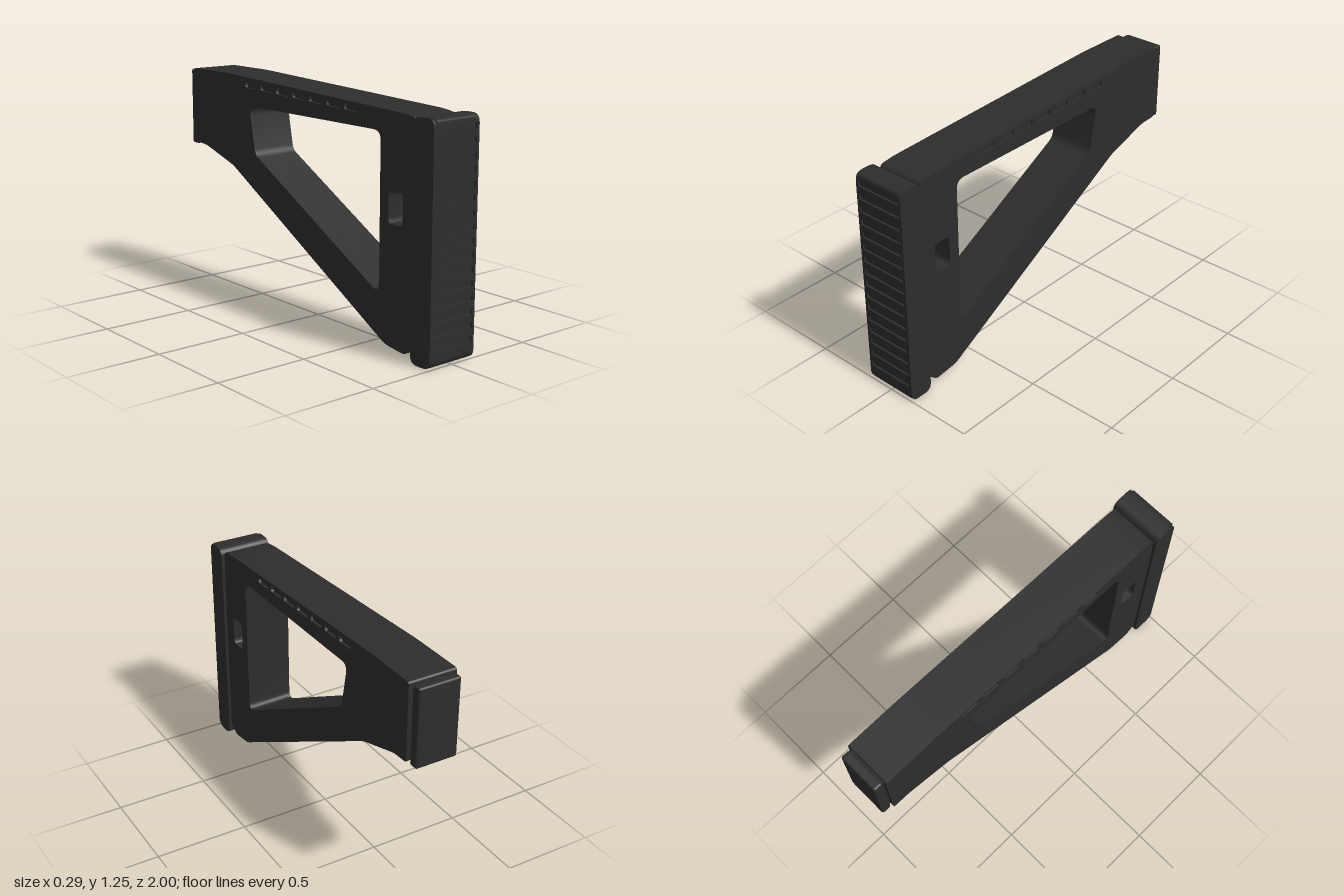
import * as THREE from 'three';
import { toCreasedNormals } from 'three/addons/utils/BufferGeometryUtils.js';
import { RoundedBoxGeometry } from 'three/addons/geometries/RoundedBoxGeometry.js';

const polymer = new THREE.MeshStandardMaterial({ color: 0x2d2d2d });
polymer.name = 'charcoal polymer';

// Closed outline with rounded corners; each point is [z, y, radius]
function trace(path, pts) {
  const n = pts.length;
  const toward = (a, b, r) => {
    const d = Math.hypot(b[0] - a[0], b[1] - a[1]);
    const t = Math.min(r, d * 0.45) / d;
    return [a[0] + (b[0] - a[0]) * t, a[1] + (b[1] - a[1]) * t];
  };
  pts.forEach((p, i) => {
    const r = p[2] || 0;
    const a = toward(p, pts[(i + n - 1) % n], r);
    const b = toward(p, pts[(i + 1) % n], r);
    if (i === 0) path.moveTo(...a);
    else path.lineTo(...a);
    if (r) path.quadraticCurveTo(p[0], p[1], b[0], b[1]);
  });
  path.closePath();
  return path;
}

// Side profile extruded across x, from x0 to x1
function slab(name, outline, holes, x0, x1) {
  const shape = trace(new THREE.Shape(), outline);
  shape.holes = holes.map((h) => trace(new THREE.Path(), h));
  const geo = new THREE.ExtrudeGeometry(shape, { depth: x1 - x0, bevelEnabled: false, curveSegments: 6 });
  geo.rotateY(-Math.PI / 2);
  geo.translate(x1, 0, 0);
  const mesh = new THREE.Mesh(toCreasedNormals(geo, 0.6), polymer);
  mesh.name = name;
  return mesh;
}

export function createModel() {
  const model = new THREE.Group();
  model.name = 'shoulderStock';

  // Frame: triangular opening and sling slot
  const frame = [
    [0.862, 1.178, 0.02], [0.78, 1.19, 0.05], [-0.62, 1.25, 0.05], [-0.94, 1.25, 0.015],
    [-0.94, 0.83, 0.01], [-0.84, 0.825, 0.02], [-0.58, 0.745, 0.03],
    [0.67, 0.042, 0.03], [0.81, 0.024, 0.02], [0.87, 0.075, 0.01], [0.87, 1.0],
  ];
  const opening = [[0.625, 1.09, 0.05], [0.625, 0.285, 0.06], [-0.375, 0.832, 0.03], [-0.425, 1.09, 0.05]];
  const slingSlot = [[0.785, 0.81, 0.025], [0.785, 0.65, 0.025], [0.685, 0.65, 0.025], [0.685, 0.81, 0.025]];

  // Shallow side recesses following the sloping top edge
  const recesses = [];
  for (let i = 0; i < 7; i++) {
    const z = 0.412 - i * 0.136;
    const y = 1.176 + i * 0.0044;
    recesses.push([
      [z + 0.055, y + 0.016, 0.018], [z + 0.055, y - 0.02, 0.018],
      [z - 0.055, y - 0.016, 0.018], [z - 0.055, y + 0.02, 0.018],
    ]);
  }
  const body = new THREE.Group();
  body.name = 'frame';
  body.add(
    slab('frameCore', frame, [opening, slingSlot], -0.115, 0.115),
    slab('leftSkin', frame, [opening, slingSlot, ...recesses], 0.115, 0.13),
    slab('rightSkin', frame, [opening, slingSlot, ...recesses], -0.13, -0.115),
  );
  model.add(body);

  // Butt pad: grooved centre between plain edges
  const top = [[1, 1.19, 0.045], [0.868, 1.19, 0.045], [0.868, 0, 0.045], [1, 0, 0.045]];
  const grooved = [...top];
  for (let i = 0; i < 16; i++) {
    const y = 0.1 + i * 0.069;
    grooved.push([1, y - 0.015], [0.988, y - 0.015], [0.988, y + 0.015], [1, y + 0.015]);
  }
  const pad = new THREE.Group();
  pad.name = 'buttPad';
  pad.add(
    slab('padCentre', grooved, [], -0.132, 0.132),
    slab('padLeftEdge', top, [], 0.132, 0.147),
    slab('padRightEdge', top, [], -0.147, -0.132),
  );
  model.add(pad);

  // Rear end cap and the recessed neck behind it
  const cap = new THREE.Mesh(new RoundedBoxGeometry(0.23, 0.425, 0.054, 3, 0.012), polymer);
  cap.name = 'endCap';
  cap.position.set(0, 1.0275, -0.973);
  const neck = new THREE.Mesh(new THREE.BoxGeometry(0.21, 0.39, 0.04), polymer);
  neck.name = 'capNeck';
  neck.position.set(0, 1.03, -0.945);
  model.add(cap, neck);

  return model;
}
